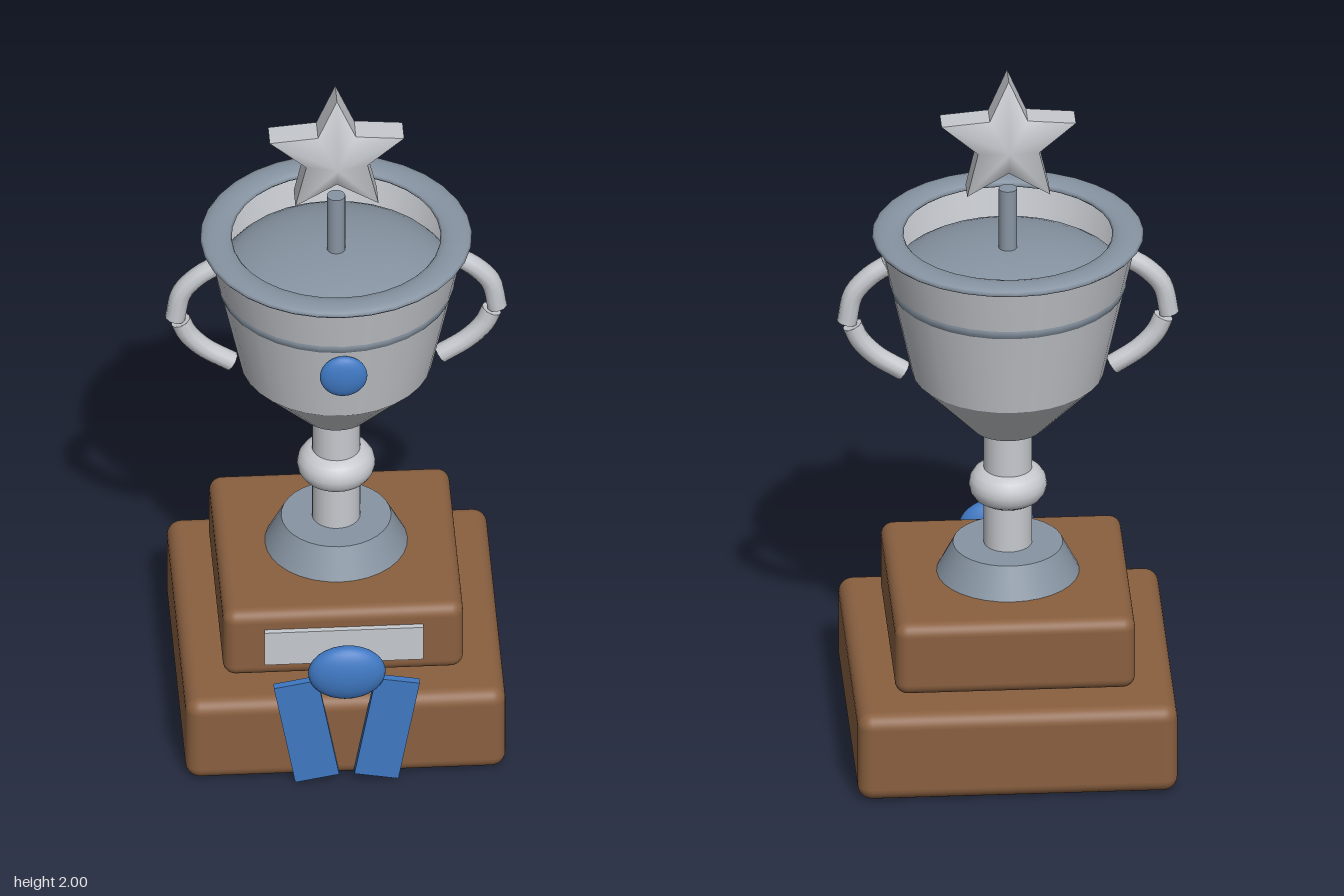
import * as THREE from 'three';
import { RoundedBoxGeometry } from 'three/addons/geometries/RoundedBoxGeometry.js';

const AXIS_Z = -0.034; // the cup and plinth sit slightly behind the ribbon

function material(name, color, side = THREE.FrontSide) {
  const m = new THREE.MeshStandardMaterial({ color, side });
  m.name = name;
  return m;
}

// Five-pointed star: raised centre on both faces, walls round the outline
function starGeometry(outer, inner, edge, peak) {
  const rim = [];
  for (let i = 0; i < 10; i++) {
    const a = Math.PI / 2 + (i * Math.PI) / 5;
    const r = i % 2 ? inner : outer;
    rim.push([r * Math.cos(a), r * Math.sin(a)]);
  }
  const pos = [], index = [];
  for (const s of [1, -1]) {
    const start = pos.length / 3;
    pos.push(0, 0, s * peak);
    rim.forEach(([x, y]) => pos.push(x, y, s * edge));
    for (let i = 0; i < 10; i++) {
      const a = start + 1 + i, b = start + 1 + ((i + 1) % 10);
      if (s > 0) index.push(start, a, b);
      else index.push(start, b, a);
    }
  }
  for (let i = 0; i < 10; i++) {
    const [ax, ay] = rim[i], [bx, by] = rim[(i + 1) % 10];
    const n = pos.length / 3;
    pos.push(ax, ay, edge, ax, ay, -edge, bx, by, -edge, bx, by, edge);
    index.push(n, n + 1, n + 2, n, n + 2, n + 3);
  }
  const g = new THREE.BufferGeometry();
  g.setAttribute('position', new THREE.Float32BufferAttribute(pos, 3));
  g.setIndex(index);
  g.computeVertexNormals();
  return g;
}

export function createModel() {
  const wood = material('wood', 0x8a6040);
  const silver = material('silver', 0xc6c9ce, THREE.DoubleSide);
  const steel = material('steel', 0x8794a2);
  const blue = material('ribbon blue', 0x3f78c2);

  const model = new THREE.Group();
  model.name = 'trophy';

  const add = (name, geometry, mat, x, y, z) => {
    const mesh = new THREE.Mesh(geometry, mat);
    mesh.name = name;
    mesh.position.set(x, y, z);
    model.add(mesh);
    return mesh;
  };
  // Round part on the cup axis, from height y0 to y1
  const turned = (name, mat, r0, r1, y0, y1, open = false) =>
    add(name, new THREE.CylinderGeometry(r1, r0, y1 - y0, 32, 1, open), mat, 0, (y0 + y1) / 2, AXIS_Z);
  const ellipsoid = (name, mat, rx, ry, rz, y, z) =>
    add(name, new THREE.SphereGeometry(1, 32, 18), mat, 0, y, z).scale.set(rx, ry, rz);

  // Two-step wooden plinth with nameplate
  add('lowerPlinth', new RoundedBoxGeometry(0.874, 0.26, 0.874, 4, 0.04), wood, 0, 0.135, AXIS_Z);
  add('upperPlinth', new RoundedBoxGeometry(0.656, 0.215, 0.656, 4, 0.035), wood, 0, 0.378, AXIS_Z);
  add('nameplate', new THREE.BoxGeometry(0.434, 0.108, 0.02), silver, 0, 0.378, 0.3);

  // Foot, stem and knop
  turned('foot', steel, 0.195, 0.15, 0.485, 0.572);
  turned('stem', silver, 0.066, 0.066, 0.57, 0.94);
  const knop = add('knop', new THREE.TorusGeometry(0.055, 0.052, 16, 32), silver, 0, 0.752, AXIS_Z);
  knop.rotation.x = Math.PI / 2;

  // Cup, its domed filling and flattened rim
  turned('cupBase', silver, 0.1, 0.262, 0.93, 1.1);
  turned('cupWall', silver, 0.262, 0.352, 1.1, 1.51, true);
  ellipsoid('cupFilling', steel, 0.325, 0.1, 0.325, 1.375, AXIS_Z);
  const rim = add('cupRim', new THREE.TorusGeometry(0.328, 0.043, 12, 32), steel, 0, 1.516, AXIS_Z);
  rim.rotation.x = Math.PI / 2;
  rim.scale.z = 0.33;

  // Handles, each an upper and a lower bent piece
  const pieces = {
    upper: [[0.33, 1.43], [0.375, 1.4], [0.422, 1.345], [0.44, 1.26]],
    lower: [[0.425, 1.25], [0.405, 1.205], [0.36, 1.155], [0.285, 1.105]],
  };
  for (const [side, s] of [['left', 1], ['right', -1]]) {
    for (const [part, points] of Object.entries(pieces)) {
      const path = new THREE.CatmullRomCurve3(points.map(([x, y]) => new THREE.Vector3(s * x, y, 0)));
      add(`${side}Handle_${part}`, new THREE.TubeGeometry(path, 12, 0.028, 10), silver, 0, 0, AXIS_Z);
      // Flat ends of the tube
      for (const t of [0, 1]) {
        const p = path.getPoint(t), d = path.getTangent(t).multiplyScalar(t ? 1 : -1);
        const cap = add(`${side}Handle_${part}End`, new THREE.CircleGeometry(0.028, 10), silver, p.x, p.y, AXIS_Z);
        cap.quaternion.setFromUnitVectors(new THREE.Vector3(0, 0, 1), d);
      }
    }
  }

  // Star on its rod
  turned('starRod', steel, 0.025, 0.025, 1.44, 1.655);
  add('star', starGeometry(0.193, 0.088, 0.037, 0.095), silver, 0, 1.807, AXIS_Z);

  // Blue cup badge and ribbon
  ellipsoid('cupBadge', blue, 0.065, 0.065, 0.025, 1.28, 0.288);
  ellipsoid('ribbonKnot', blue, 0.106, 0.085, 0.042, 0.378, 0.428);
  for (const [side, s] of [['left', 1], ['right', -1]]) {
    const tail = add(`${side}RibbonTail`, new THREE.BoxGeometry(0.122, 0.326, 0.022), blue, s * 0.11, 0.182, 0.418);
    tail.rotation.z = -s * 0.18;
  }
  return model;
}
